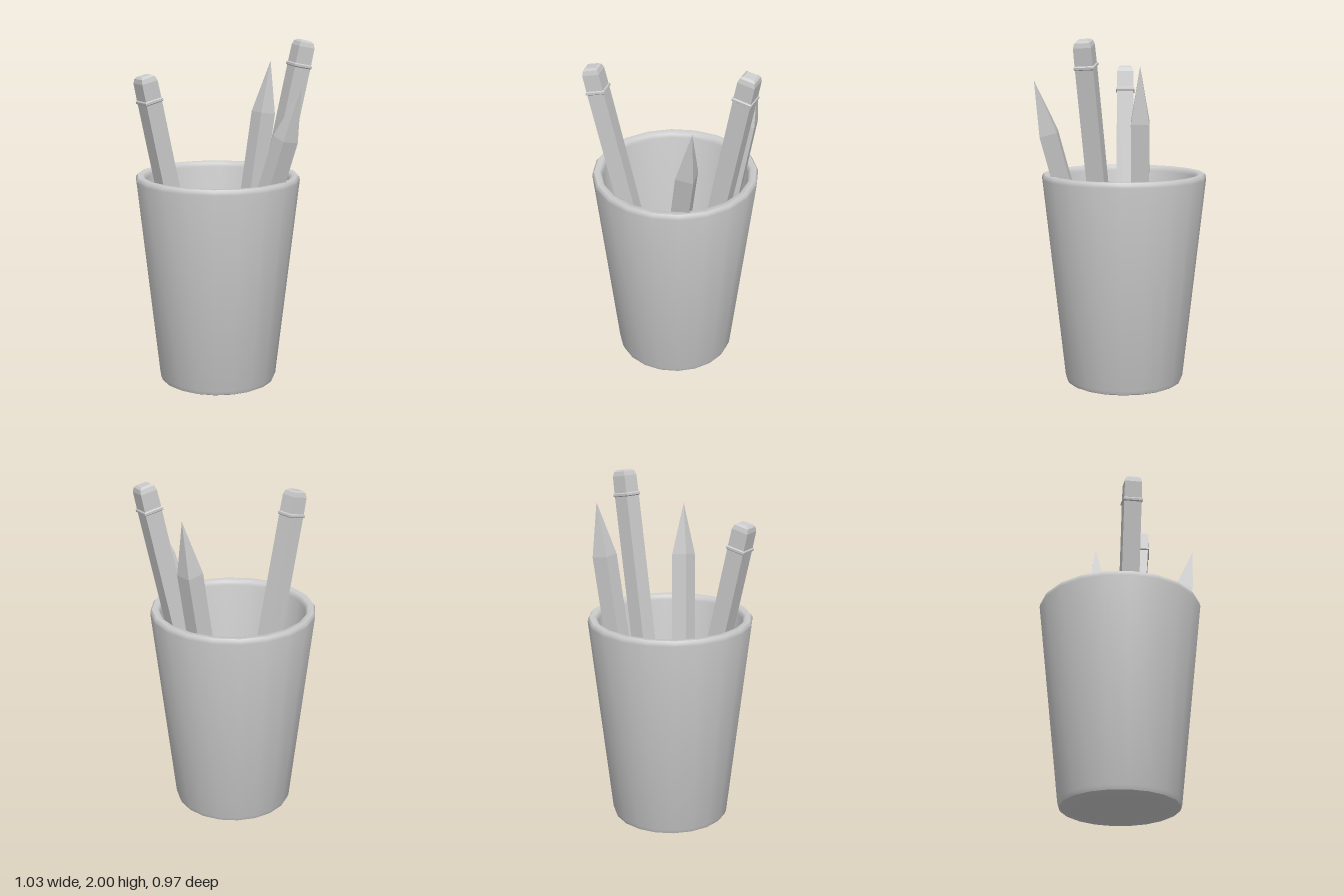
import * as THREE from 'three';
import { toCreasedNormals } from 'three/addons/utils/BufferGeometryUtils.js';

const smoothGrey = new THREE.MeshStandardMaterial({ color: 0xcccccc });
const flatGrey = new THREE.MeshStandardMaterial({ color: 0xcccccc, flatShading: true });
const LENGTH = 1.83;

const points = (list) => list.map(([r, y]) => new THREE.Vector2(r, y));

// Square bar along y; the profile lists [half width, height]
function squareBar(name, profile) {
  const corners = points(profile.map(([half, y]) => [half * Math.SQRT2, y]));
  const mesh = new THREE.Mesh(new THREE.LatheGeometry(corners, 4, Math.PI / 4), flatGrey);
  mesh.name = name;
  return mesh;
}

// Pencil running from its sharp tip to its eraser end
function makePencil(name, tip, end, twist = 0) {
  const pencil = new THREE.Group();
  pencil.name = name;
  pencil.add(
    squareBar('sharpenedTip', [[0, 0], [0.05, 0.31]]),
    squareBar('shaft', [[0.05, 0.31], [0.05, LENGTH - 0.155]]),
    squareBar('ferrule', [
      [0.05, LENGTH - 0.155], [0.056, LENGTH - 0.15],
      [0.056, LENGTH - 0.138], [0.05, LENGTH - 0.132],
    ]),
    squareBar('eraser', [
      [0.05, LENGTH - 0.132], [0.049, LENGTH - 0.035],
      [0.042, LENGTH - 0.01], [0.03, LENGTH], [0, LENGTH],
    ]),
  );
  const start = new THREE.Vector3(...tip);
  const direction = new THREE.Vector3(...end).sub(start).normalize();
  // The cross-section stays square to the axes apart from the twist
  if (direction.y > 0) {
    pencil.quaternion.setFromUnitVectors(new THREE.Vector3(0, 1, 0), direction);
  } else {
    pencil.quaternion.setFromUnitVectors(new THREE.Vector3(0, -1, 0), direction);
    pencil.quaternion.multiply(new THREE.Quaternion(1, 0, 0, 0));
  }
  pencil.rotateY(twist);
  pencil.position.copy(start);
  return pencil;
}

export function createModel() {
  const model = new THREE.Group();
  model.name = 'pencilCup';

  // Tapered hollow cup with a rounded rim and foot
  const profile = points([
    [0, 0.005], [0.322, 0.005], [0.336, 0.012], [0.345, 0.035],
    [0.474, 1.205], [0.473, 1.222], [0.464, 1.234],
    [0.434, 1.234], [0.423, 1.225], [0.417, 1.205],
    [0.302, 0.05], [0, 0.05],
  ]);
  const cup = new THREE.Mesh(
    toCreasedNormals(new THREE.LatheGeometry(profile, 20), 0.7), smoothGrey);
  cup.name = 'cup';
  cup.position.set(0.005, 0, -0.01);
  model.add(cup);

  // Two pencils stand eraser up, two stand tip up
  model.add(
    makePencil('leftPencil', [-0.075, 0.045, -0.008], [-0.474, 1.83, -0.008]),
    makePencil('tallPencil', [0.126, 0.205, 0.044], [0.462, 2.0, 0.196], -0.18),
    makePencil('frontPencil', [0.228, 1.775, 0.484], [-0.056, 0.02, 0.037]),
    makePencil('rightPencil', [0.443, 1.86, -0.106], [0.146, 0.05, -0.106]),
  );
  return model;
}
